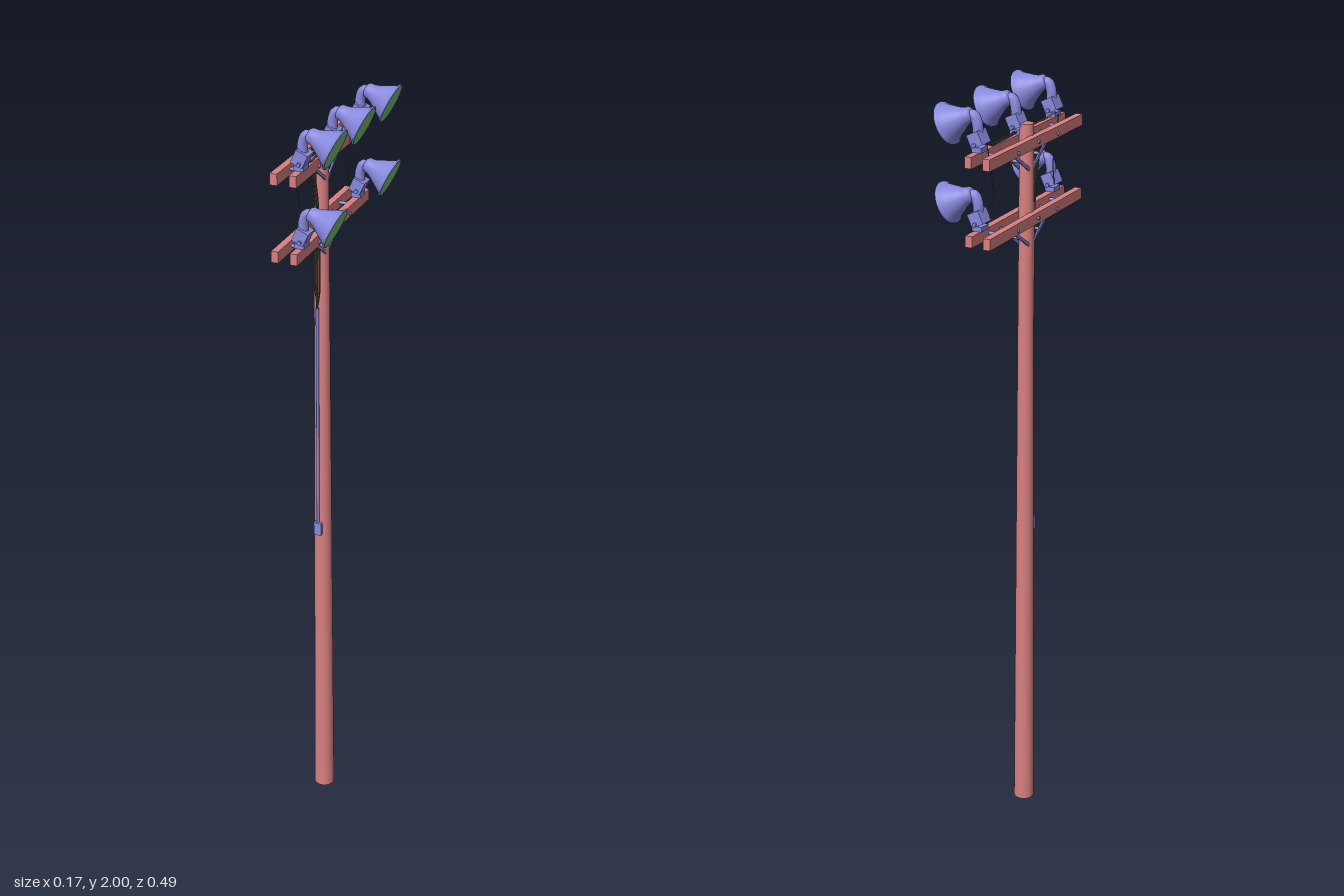
import * as THREE from 'three';

const V = (x, y, z) => new THREE.Vector3(x, y, z);
const wood = new THREE.MeshStandardMaterial({ color: 0xd98080 });
const metal = new THREE.MeshStandardMaterial({ color: 0x8888dd });
const glass = new THREE.MeshStandardMaterial({ color: 0x78c278 });
const rubber = new THREE.MeshStandardMaterial({ color: 0x55554a });
const shell = metal.clone();
shell.side = THREE.DoubleSide;

const POLE_X = -0.049, BACK_X = -0.072, FRONT_X = -0.024;
const TILT = THREE.MathUtils.degToRad(25);

function add(parent, name, geometry, material, x = 0, y = 0, z = 0) {
  const mesh = new THREE.Mesh(geometry, material);
  mesh.name = name;
  mesh.position.set(x, y, z);
  parent.add(mesh);
  return mesh;
}

function box(parent, name, mat, w, h, d, x, y, z) {
  return add(parent, name, new THREE.BoxGeometry(w, h, d), mat, x, y, z);
}

// round rod along one axis
function rod(parent, name, mat, r, length, axis, x, y, z) {
  const m = add(parent, name, new THREE.CylinderGeometry(r, r, length, 10), mat, x, y, z);
  if (axis === 'x') m.rotation.z = Math.PI / 2;
  if (axis === 'z') m.rotation.x = Math.PI / 2;
  return m;
}

function cable(parent, name, points, r = 0.002) {
  const curve = new THREE.CatmullRomCurve3(points.map(p => V(...p)));
  return add(parent, name, new THREE.TubeGeometry(curve, 32, r, 6), rubber);
}

// floodlight standing on the front crossarm; y is the top of the arm
function floodlight(y, z) {
  const g = new THREE.Group();
  g.name = 'floodlight';
  g.position.set(0, y, z);

  // foot, ballast box and cross bolt
  box(g, 'mountFoot', metal, 0.026, 0.012, 0.034, FRONT_X, 0.006, 0);
  const ballast = box(g, 'ballastBox', metal, 0.032, 0.034, 0.042, -0.021, 0.03, 0);
  ballast.rotation.z = -TILT;
  rod(g, 'mountBolt', metal, 0.005, 0.054, 'z', -0.021, 0.018, 0);

  // neck bending from the box into the bell
  const bend = new THREE.CatmullRomCurve3([V(-0.02, 0.035, 0), V(-0.018, 0.066, 0), V(-0.009, 0.083, 0), V(0.008, 0.08, 0)]);
  add(g, 'neck', new THREE.TubeGeometry(bend, 16, 0.013, 14), metal);

  // bell reflector, axis tilted downward
  const head = new THREE.Group();
  head.name = 'lampHead';
  head.position.set(0.061, 0.056, 0);
  head.rotation.z = -Math.PI / 2 - TILT;
  const profile = [[0, -0.074], [0.013, -0.073], [0.018, -0.068], [0.02, -0.056], [0.024, -0.046],
    [0.032, -0.032], [0.041, -0.016], [0.047, -0.006], [0.052, -0.003], [0.052, 0.001], [0.049, 0.001]];
  add(head, 'bell', new THREE.LatheGeometry(profile.map(p => new THREE.Vector2(...p)), 32), shell);
  add(head, 'lens', new THREE.CylinderGeometry(0.05, 0.05, 0.002, 32), glass);
  g.add(head);
  return g;
}

// a pair of crossarms with spacers, bolts and V braces; y is the centre height
function crossarmSet(y) {
  const g = new THREE.Group();
  g.name = 'crossarmSet';
  g.position.y = y;
  for (const x of [BACK_X, FRONT_X]) box(g, 'crossarm', wood, 0.018, 0.028, 0.494, x, 0, -0.001);
  rod(g, 'poleBolt', metal, 0.004, 0.076, 'x', -0.048, 0, 0);

  for (const s of [-1, 1]) {
    rod(g, 'armSpacer', metal, 0.0045, 0.034, 'x', -0.048, 0, s * 0.161);
    rod(g, 'braceSpacer', metal, 0.004, 0.026, 'x', -0.048, -0.042, s * 0.046);
    for (const x of [BACK_X, FRONT_X]) {
      rod(g, 'boltShank', metal, 0.003, 0.025, 'x', x, -0.004, s * 0.105);
      for (const e of [-1, 1]) {
        const head = add(g, 'boltHead', new THREE.SphereGeometry(0.005, 10, 8), metal, x + e * 0.0105, -0.004, s * 0.105);
        head.scale.x = 0.6;
      }
    }
    // flat brace from the arm down to the pole, one inside each arm
    for (const x of [-0.061, -0.035]) {
      const from = V(x, -0.004, s * 0.108), to = V(x, -0.072, s * 0.004);
      const d = to.clone().sub(from);
      const mid = from.clone().add(to).multiplyScalar(0.5);
      const brace = box(g, 'brace', metal, 0.004, 0.008, d.length(), mid.x, mid.y, mid.z);
      brace.rotation.x = -Math.atan2(d.y, d.z);
    }
  }
  return g;
}

export function createModel() {
  const model = new THREE.Group();
  model.name = 'floodlightPole';

  // tapered pole
  add(model, 'pole', new THREE.CylinderGeometry(0.0175, 0.0275, 1.925, 24), wood, POLE_X, 0.9625, 0);

  // two tiers of crossarms and their lights
  const upper = 1.883, lower = 1.693;
  model.add(crossarmSet(upper), crossarmSet(lower));
  for (const z of [-0.19, 0.002, 0.194]) model.add(floodlight(upper + 0.014, z));
  for (const z of [-0.19, 0.194]) model.add(floodlight(lower + 0.014, z));

  // conduit down the pole with its end box
  const conduit = rod(model, 'conduit', metal, 0.004, 0.64, 'y', -0.053, 1.16, 0.0245);
  conduit.rotation.x = -0.005;
  box(model, 'conduitBox', metal, 0.02, 0.036, 0.014, -0.053, 0.848, 0.026);

  // cables along the upper arm and down between the tiers
  for (const dx of [0, 0.006]) {
    cable(model, 'armCable', [[-0.035 + dx, 1.915, -0.165], [-0.03 + dx, 1.9, -0.14],
      [-0.028 + dx, 1.9, -0.05], [-0.034 + dx, 1.902, 0.01], [-0.05 + dx, 1.87, 0.036]]);
  }
  cable(model, 'armCable', [[-0.042, 1.915, 0.17], [-0.024, 1.9, 0.15], [-0.022, 1.9, 0.11],
    [-0.034, 1.9, 0.06], [-0.048, 1.87, 0.035]], 0.0025);
  for (const s of [-1, 1]) {
    cable(model, 'dropCable', [[-0.042, 1.905, s * 0.185], [-0.044, 1.86, s * 0.176],
      [-0.042, 1.79, s * 0.16], [-0.04, 1.73, s * 0.172]], 0.0015);
  }

  // looping bundle from the upper arms into the conduit
  for (let i = 0; i < 4; i++) {
    const x = -0.06 + i * 0.006, bulge = i * 0.004;
    cable(model, 'poleCable', [[x, 1.895, 0.03 + bulge], [x, 1.84, 0.045 + bulge], [x, 1.76, 0.029 + bulge],
      [x, 1.66, 0.022 + bulge], [x, 1.55 - i * 0.01, 0.024 + bulge], [-0.053, 1.495 - i * 0.005, 0.026], [-0.053, 1.47, 0.023]]);
  }
  return model;
}
